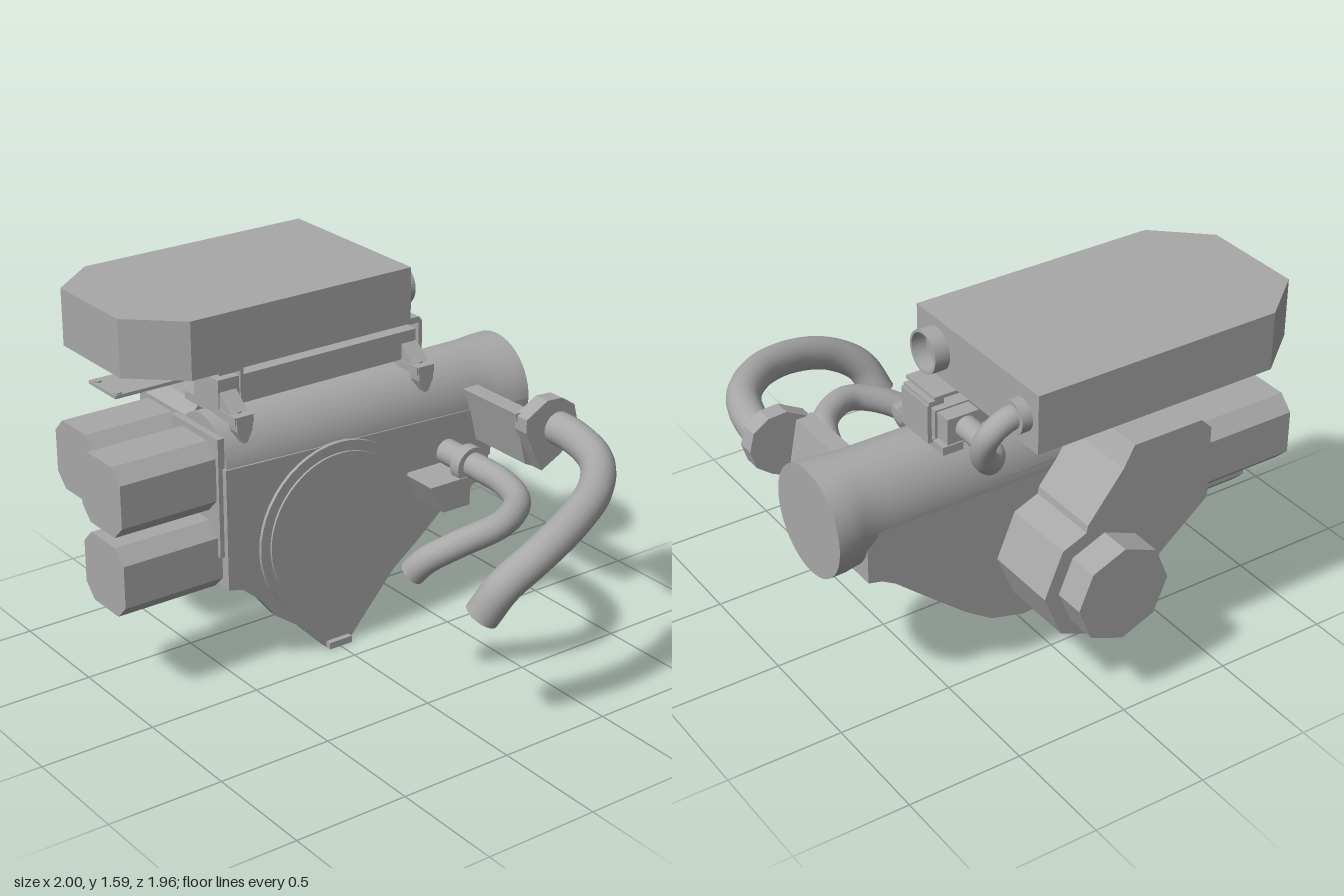
import * as THREE from 'three';

const grey = new THREE.MeshStandardMaterial({ color: 0xa8a8a8, side: THREE.DoubleSide });
grey.name = 'plain grey';

export function createModel() {
  const model = new THREE.Group();
  model.name = 'machineHead';

  const add = (name, geometry) => {
    const mesh = new THREE.Mesh(geometry, grey);
    mesh.name = name;
    model.add(mesh);
    return mesh;
  };
  // box from its min and max on each axis
  const box = (name, x0, x1, y0, y1, z0, z1) =>
    add(name, new THREE.BoxGeometry(x1 - x0, y1 - y0, z1 - z0)
      .translate((x0 + x1) / 2, (y0 + y1) / 2, (z0 + z1) / 2));
  const toShape = pts => new THREE.Shape(pts.map(p => new THREE.Vector2(p[0], p[1])));
  const extrude = (shape, depth) =>
    new THREE.ExtrudeGeometry(shape, { depth, bevelEnabled: false, curveSegments: 24 });
  // x-y outline extruded along z
  const plateZ = (name, pts, z0, z1) => add(name, extrude(toShape(pts), z1 - z0).translate(0, 0, z0));
  // (-z)-y outline extruded along x
  const plateX = (name, pts, x0, x1) =>
    add(name, extrude(toShape(pts), x1 - x0).rotateY(Math.PI / 2).translate(x0, 0, 0));
  // cylinder or prism along z
  const discZ = (name, x, y, r0, r1, z0, z1, sides = 48, turn = 0) => {
    let g = new THREE.CylinderGeometry(r1, r0, z1 - z0, sides);
    if (sides < 12) { g = g.toNonIndexed(); g.computeVertexNormals(); }
    return add(name, g.rotateX(Math.PI / 2).rotateZ(turn).translate(x, y, (z0 + z1) / 2));
  };
  // smooth bent pipe with closed ends
  const pipe = (name, pts, r) => {
    const curve = new THREE.CatmullRomCurve3(pts.map(p => new THREE.Vector3(...p)));
    add(name, new THREE.TubeGeometry(curve, 64, r, 20));
    for (const t of [0, 1]) {
      const cap = add(name + 'End', new THREE.CircleGeometry(r, 20));
      const dir = curve.getTangent(t).multiplyScalar(t ? 1 : -1);
      cap.position.copy(curve.getPoint(t));
      cap.lookAt(cap.position.clone().add(dir));
    }
  };
  const ring = (r, hole) => {
    const s = new THREE.Shape().absarc(0, 0, r, 0, Math.PI * 2);
    s.holes.push(new THREE.Path().absarc(0, 0, hole, 0, Math.PI * 2));
    return s;
  };

  // oval barrel flaring to a round mouth at +x
  const barrel = new THREE.CylinderGeometry(0.23, 0.23, 1.53, 48, 24)
    .rotateZ(-Math.PI / 2).translate(0.235, 0, 0);
  const bp = barrel.attributes.position;
  for (let i = 0; i < bp.count; i++) {
    const f = THREE.MathUtils.smoothstep(bp.getX(i), 0.81, 0.97);
    bp.setZ(i, bp.getZ(i) * (0.83 + 0.17 * f));
  }
  barrel.computeVertexNormals();
  add('barrel', barrel.translate(0, 0.9, -0.32));

  // wedge housing hanging under the barrel
  plateZ('wedgeHousing', [[-0.54, 0.95], [-0.54, 0.42], [-0.47, 0.4], [-0.39, 0.34], [-0.3, 0.27],
    [-0.15, 0.24], [0.15, 0.23], [0.3, 0.27], [0.42, 0.35], [0.6, 0.5], [0.74, 0.62], [0.8, 0.655],
    [0.86, 0.67], [0.86, 0.9]], -0.51, -0.17);
  plateZ('frontPlate', [[-0.54, 0.95], [-0.54, 0.42], [-0.47, 0.4], [-0.39, 0.33], [-0.31, 0.23],
    [-0.2, 0.15], [-0.055, 0], [0.06, 0], [0.3, 0.27], [0.42, 0.36], [0.6, 0.51], [0.74, 0.63],
    [0.82, 0.67], [0.82, 0.9]], -0.17, -0.125);
  discZ('lowerDrum', 0, 0.55, 0.36, 0.42, -0.3, -0.15);
  discZ('frontDiscRim', 0, 0.55, 0.39, 0.39, -0.13, -0.11);
  discZ('frontDisc', 0, 0.55, 0.345, 0.345, -0.12, -0.1);
  box('bottomLip', -0.055, 0.06, 0, 0.03, -0.155, -0.1);

  // motors with chamfered square section
  const chamfered = (y, z, h = 0.152, c = 0.06) => [[-h, -h + c], [-h + c, -h], [h - c, -h], [h, -h + c],
    [h, h - c], [h - c, h], [-h + c, h], [-h, h - c]].map(p => [p[0] - z, p[1] + y]);
  plateX('upperSideMotor', chamfered(0.9, -0.32), -1, -0.54);
  plateX('lowerSideMotor', chamfered(0.552, -0.32), -1, -0.54);
  plateX('rearSideMotor', chamfered(0.89, -0.675), -0.91, -0.48);
  box('sideMotorFlange', -0.56, -0.53, 0.56, 1.08, -0.49, -0.15);

  // rear gearbox and its stepped motor
  plateZ('rearGearbox', [[-0.5, 1.06], [-0.5, 0.74], [-0.27, 0.55], [0.12, 0.6], [0.08, 0.82],
    [-0.08, 1.02], [-0.13, 1.11], [-0.45, 1.11]], -0.835, -0.45);
  discZ('rearMotorBase', 0, 0.55, 0.275, 0.275, -0.835, -0.5, 8, 0.0);
  discZ('rearMotorCap', 0, 0.55, 0.21, 0.21, -0.97, -0.83, 8, 0.0);

  // top cover with cut corners
  add('topCover', extrude(toShape([[0.42, 0.18], [0.42, 0.98], [-0.65, 0.98], [-0.86, 0.81],
    [-0.86, 0.37], [-0.65, 0.18]]), 0.245).rotateX(-Math.PI / 2).translate(0, 1.343, 0));
  add('coverPort', extrude(ring(0.088, 0.078), 0.07).rotateY(Math.PI / 2).translate(0.415, 1.465, -0.32));
  add('hoseCollar', extrude(ring(0.066, 0.04), 0.05).rotateY(Math.PI / 2).translate(0.415, 1.465, -0.88));
  pipe('coverHose', [[0.4, 1.465, -0.88], [0.48, 1.465, -0.88], [0.55, 1.41, -0.865], [0.55, 1.31, -0.82],
    [0.5, 1.235, -0.785], [0.44, 1.215, -0.72], [0.42, 1.215, -0.6], [0.42, 1.215, -0.43]], 0.047);

  // carrier below the cover
  box('mountPlate', -0.96, 0.51, 1.322, 1.336, -0.44, -0.24);
  for (const z of [-0.41, -0.26])
    add('plateBolt', new THREE.CylinderGeometry(0.018, 0.018, 0.008, 16).translate(-0.94, 1.339, z));
  box('tray', -0.48, 0.51, 1.155, 1.277, -0.44, -0.26);
  box('hoseSocket', 0.36, 0.5, 1.16, 1.27, -0.51, -0.43);
  box('rightStrap', 0.525, 0.543, 1.15, 1.31, -0.44, -0.26);
  box('rightStrapFoot', 0.48, 0.543, 1.145, 1.158, -0.44, -0.26);
  box('rightStrapTop', 0.47, 0.535, 1.3, 1.322, -0.44, -0.26);
  box('leftStrap', -0.38, -0.365, 1.15, 1.31, -0.44, -0.25);
  box('leftStrapTop', -0.48, -0.375, 1.3, 1.322, -0.44, -0.25);

  // feet and gussets that sit on the barrel
  for (const x of [-0.435, 0.475]) {
    box('foot', x - 0.045, x + 0.045, 1.12, 1.155, -0.51, -0.145);
    plateX('footGusset', [[0.14, 1.12], [0.26, 1.225], [0.26, 1.12]], x - 0.04, x + 0.04);
    plateZ('footTongue', [[x - 0.04, 1.155], [x - 0.035, 1.09], [x - 0.01, 1.04], [x + 0.01, 1.04],
      [x + 0.035, 1.09], [x + 0.04, 1.155]], -0.2, -0.14);
    for (const z of [-0.48, -0.19])
      add('footBolt', new THREE.CylinderGeometry(0.014, 0.014, 0.008, 16).translate(x, 1.158, z));
  }

  // long outer handle with its bracket
  pipe('outerHandle', [[0.86, 0.915, 0.19], [0.855, 0.915, 0.36], [0.78, 0.905, 0.59], [0.61, 0.88, 0.77],
    [0.4, 0.835, 0.87], [0.2, 0.765, 0.905], [0.06, 0.67, 0.88], [0, 0.54, 0.825]], 0.072);
  plateZ('outerHandleFlange', [[0.69, 0.99], [0.8, 1.05], [0.88, 1.045], [0.95, 1], [0.97, 0.92],
    [0.945, 0.84], [0.88, 0.79], [0.78, 0.74], [0.74, 0.82], [0.69, 0.93]], 0.185, 0.26);
  plateZ('outerHandleStem', [[0.68, 1], [0.76, 1], [0.8, 0.79], [0.77, 0.745], [0.74, 0.76]], -0.2, 0.2);

  // short inner handle with its bracket
  pipe('innerHandle', [[0.58, 0.745, -0.14], [0.58, 0.745, 0.1], [0.56, 0.75, 0.28], [0.47, 0.755, 0.47],
    [0.3, 0.745, 0.57], [0.13, 0.69, 0.52], [0.03, 0.615, 0.44], [0, 0.55, 0.39]], 0.056);
  discZ('innerHandleCollar', 0.58, 0.74, 0.082, 0.082, 0, 0.055);
  plateZ('innerHandleBracket', [[0.35, 0.7], [0.42, 0.57], [0.56, 0.57], [0.56, 0.64], [0.6, 0.7]], -0.13, 0.06);

  return model;
}
